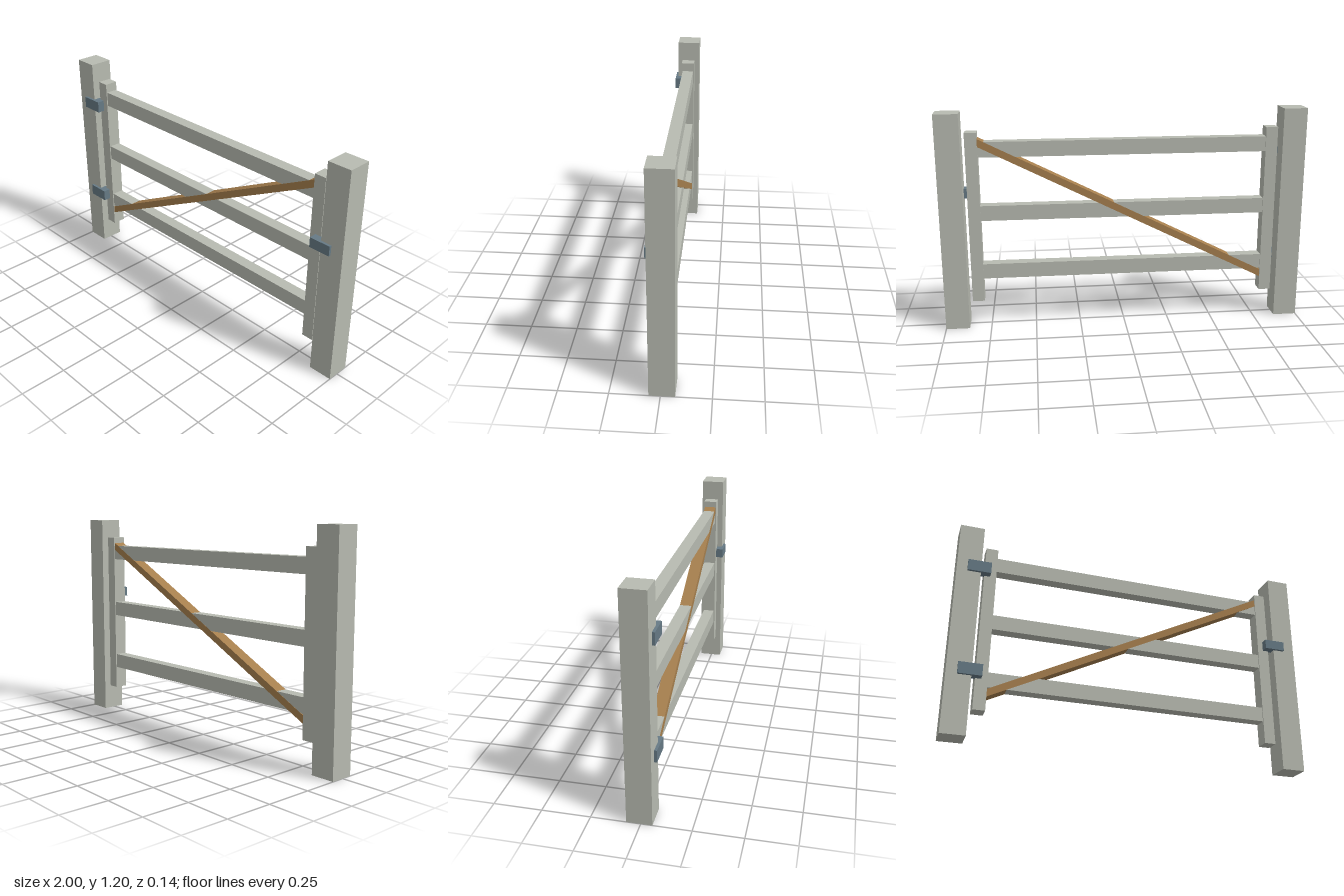
import * as THREE from 'three';

export function createModel() {
  const gate = new THREE.Group();
  gate.name = 'fieldGate';

  const material = (name, color) => {
    const m = new THREE.MeshStandardMaterial({ color });
    m.name = name;
    return m;
  };
  const paintedWood = material('weathered grey wood', 0xb8bbb1);
  const braceWood = material('brown wood', 0xa67f4e);
  const steel = material('blue grey steel', 0x667a85);

  const box = (name, mat, w, h, d, x, y, z) => {
    const mesh = new THREE.Mesh(new THREE.BoxGeometry(w, h, d), mat);
    mesh.name = name;
    mesh.position.set(x, y, z);
    gate.add(mesh);
    return mesh;
  };

  const midZ = -0.007; // centre plane of the woodwork

  // Posts and gate stiles, mirrored
  for (const [side, s] of [['left', 1], ['right', -1]]) {
    box(side + 'Post', paintedWood, 0.13, 1.2, 0.129, s * 0.935, 0.6, midZ);
    box(side + 'Stile', paintedWood, 0.065, 0.945, 0.075, s * 0.8155, 0.6225, midZ);
  }

  // Horizontal rails
  [['bottomRail', 0.321], ['middleRail', 0.653], ['topRail', 1.003]].forEach(([name, y]) =>
    box(name, paintedWood, 1.57, 0.083, 0.064, 0, y, midZ));

  // Diagonal brace, its ends let into the stiles
  const rise = Math.atan2(0.79, 1.565);
  const brace = box('diagonalBrace', braceWood, 1.6 / Math.cos(rise), 0.038, 0.0655, 0, 0.645, midZ);
  brace.rotation.z = rise;

  // Hinges on one side, latch on the other
  box('lowerHinge', steel, 0.126, 0.064, 0.0535, -0.88, 0.352, 0.0448);
  box('upperHinge', steel, 0.126, 0.064, 0.0535, -0.88, 0.953, 0.0448);
  box('latch', steel, 0.118, 0.054, 0.0535, 0.873, 0.752, 0.0448);

  return gate;
}
